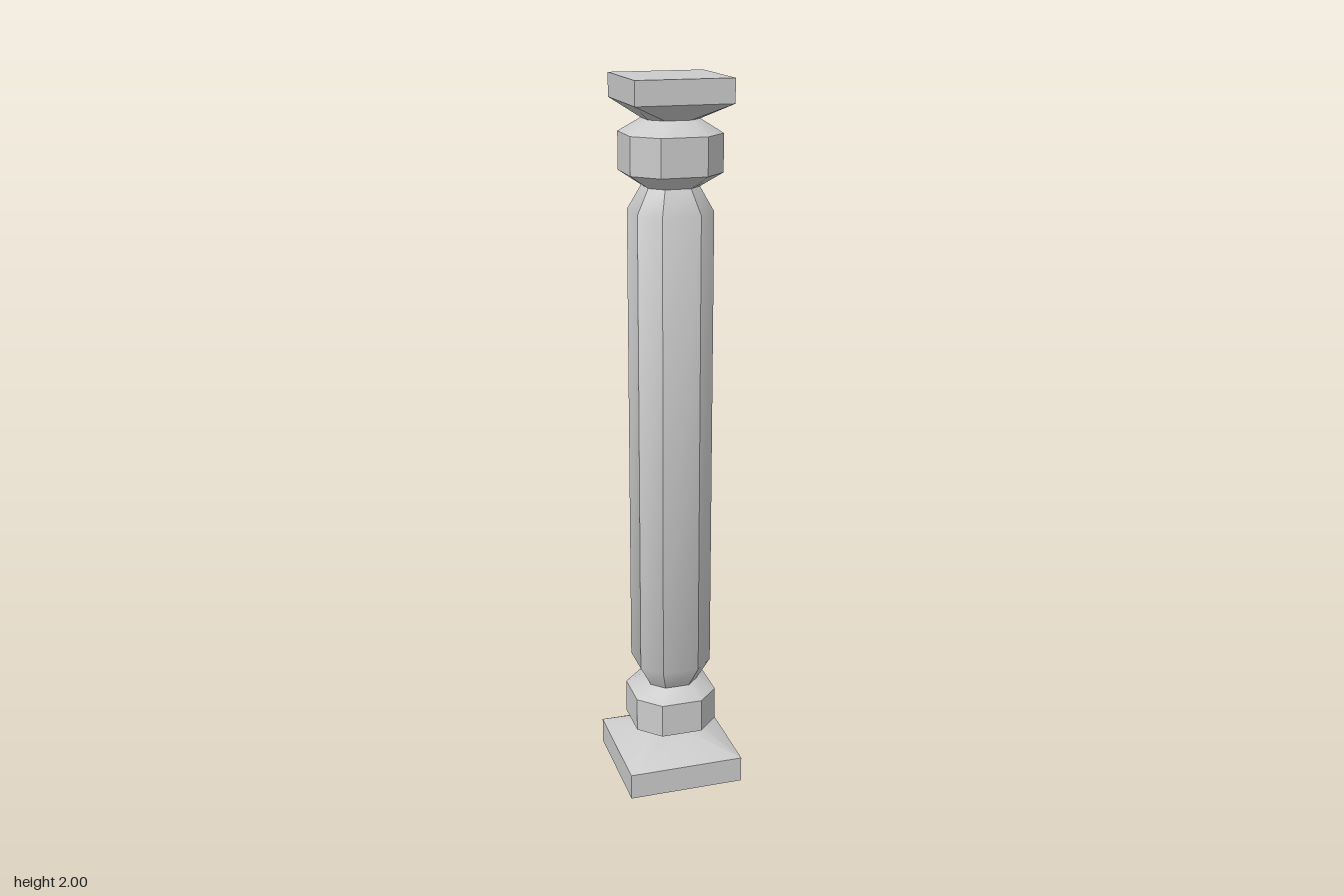
import * as THREE from 'three';
import { toCreasedNormals } from 'three/addons/utils/BufferGeometryUtils.js';

const OCT = 0.5; // front face width relative to full width
const SQ = 1;

// Chamfered-square cross-section, counter-clockwise from above
function section([y, h, k]) {
  const c = h * k;
  return [[-c, h], [c, h], [h, c], [h, -c], [c, -h], [-c, -h], [-h, -c], [-h, c]]
    .map(([x, z]) => new THREE.Vector3(x, y, z));
}

// Skins a stack of [y, halfWidth, chamfer ratio] sections, with end caps
function loft(name, rows, material) {
  const pos = [];
  const tri = (a, b, c) => {
    const area = b.clone().sub(a).cross(c.clone().sub(a)).length();
    if (area > 1e-8) for (const p of [a, b, c]) pos.push(p.x, p.y, p.z);
  };
  const rings = rows.map(section);
  for (let r = 0; r < rings.length - 1; r++) {
    const lo = rings[r], up = rings[r + 1];
    for (let i = 0; i < 8; i++) {
      const j = (i + 1) % 8;
      tri(lo[i], lo[j], up[j]);
      tri(lo[i], up[j], up[i]);
    }
  }
  const first = rings[0], last = rings[rings.length - 1];
  for (let i = 1; i < 7; i++) {
    tri(first[0], first[i + 1], first[i]);
    tri(last[0], last[i], last[i + 1]);
  }
  const geo = new THREE.BufferGeometry();
  geo.setAttribute('position', new THREE.Float32BufferAttribute(pos, 3));
  const mesh = new THREE.Mesh(toCreasedNormals(geo, 0.55), material);
  mesh.name = name;
  return mesh;
}

export function createModel() {
  const group = new THREE.Group();
  group.name = 'column';
  const grey = new THREE.MeshStandardMaterial({ color: 0xcccccc });

  const parts = {
    // square foot sloping in to the lower neck
    base: [[0, 0.166, SQ], [0.075, 0.166, SQ], [0.13, 0.07, OCT]],
    lowerRing: [[0.13, 0.07, OCT], [0.157, 0.118, OCT], [0.255, 0.118, OCT], [0.285, 0.072, OCT]],
    // long shaft tapered at both ends
    shaft: [[0.285, 0.07, OCT], [0.35, 0.104, OCT], [1.655, 0.104, OCT], [1.72, 0.07, OCT]],
    upperRing: [[1.72, 0.07, OCT], [1.757, 0.125, OCT], [1.857, 0.125, OCT], [1.893, 0.07, OCT]],
    // square top slab flaring out from the upper neck
    capital: [[1.893, 0.07, OCT], [1.937, 0.131, SQ], [2, 0.131, SQ]],
  };
  for (const [name, rows] of Object.entries(parts)) group.add(loft(name, rows, grey));
  return group;
}
